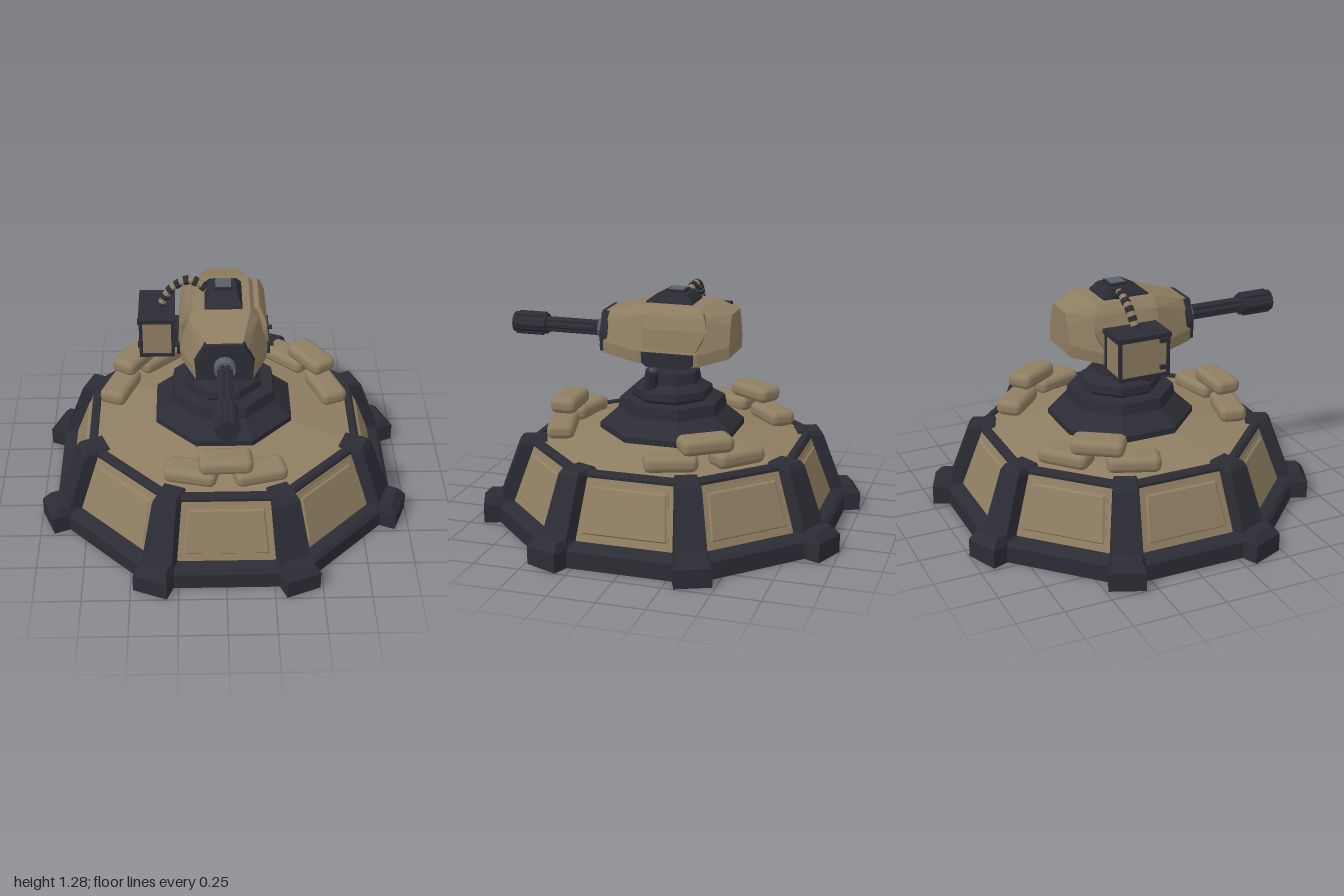
import * as THREE from 'three';
import { ConvexGeometry } from 'three/addons/geometries/ConvexGeometry.js';
import { RoundedBoxGeometry } from 'three/addons/geometries/RoundedBoxGeometry.js';

const tan = new THREE.MeshStandardMaterial({ color: 0x8f7e62 });
tan.name = 'tan armour';
const dark = new THREE.MeshStandardMaterial({ color: 0x2c2c35 });
dark.name = 'dark metal';
const grey = new THREE.MeshStandardMaterial({ color: 0x5a6068 });
grey.name = 'grey steel';

// Faceted normals
function flat(geo) {
  const g = geo.index ? geo.toNonIndexed() : geo;
  g.computeVertexNormals();
  return g;
}

function add(parent, name, geo, mat, x = 0, y = 0, z = 0) {
  const m = new THREE.Mesh(geo, mat);
  m.name = name;
  m.position.set(x, y, z);
  parent.add(m);
  return m;
}

// Eight-sided solid from [apothem, y] pairs, bottom to top
function octagon(profile) {
  const pts = profile.map(([a, y]) => new THREE.Vector2(a / Math.cos(Math.PI / 8), y));
  return flat(new THREE.LatheGeometry(pts, 8, Math.PI / 8));
}

const hull = (pts) => new ConvexGeometry(pts.map((p) => new THREE.Vector3(...p)));

// Solid from level rectangles [y, halfWidth, zMin, zMax]
const stack = (levels) => hull(levels.flatMap(([y, w, z0, z1]) =>
  [[-w, y, z0], [w, y, z0], [w, y, z1], [-w, y, z1]]));

// Cylinder between two points
function rod(parent, name, a, b, r, mat, sides = 8) {
  const from = new THREE.Vector3(...a), to = new THREE.Vector3(...b);
  const dir = to.clone().sub(from);
  const m = add(parent, name, flat(new THREE.CylinderGeometry(r, r, dir.length(), sides)), mat);
  m.position.copy(from).lerp(to, 0.5);
  m.quaternion.setFromUnitVectors(new THREE.Vector3(0, 1, 0), dir.normalize());
  return m;
}

function buildBase(root) {
  const base = new THREE.Group();
  base.name = 'base';
  root.add(base);
  add(base, 'plinth', octagon([[0, 0], [0.915, 0], [0.915, 0.09], [0.895, 0.11], [0.83, 0.12], [0, 0.12]]), dark);
  add(base, 'slopedWall', octagon([[0.84, 0.115], [0.72, 0.44]]), tan);
  add(base, 'topRim', octagon([[0.728, 0.425], [0.728, 0.44], [0.715, 0.455], [0.685, 0.455], [0.68, 0.435]]), dark);
  add(base, 'deck', octagon([[0.69, 0.44], [0.3, 0.51], [0, 0.51]]), tan);

  const foot = stack([[0, 0.095, 0.8, 1.04], [0.1, 0.095, 0.8, 1.04], [0.145, 0.075, 0.8, 1.0]]);
  const pillar = stack([[0.1, 0.085, 0.8, 0.955], [0.435, 0.066, 0.68, 0.83], [0.46, 0.055, 0.69, 0.81]]);
  const wallZ = (y) => 0.84 - (y - 0.115) * 0.12 / 0.325;
  const plate = hull([[0.155, 0.225, 0], [0.39, 0.2, 0], [0.165, 0.215, 0.012], [0.38, 0.19, 0.012]]
    .flatMap(([y, w, d]) => [[-w, y, wallZ(y) + d], [w, y, wallZ(y) + d]]));
  const outline = hull([[0.148, 0.232, -0.005], [0.397, 0.207, -0.005], [0.148, 0.232, 0.003], [0.397, 0.207, 0.003]]
    .flatMap(([y, w, d]) => [[-w, y, wallZ(y) + d], [w, y, wallZ(y) + d]]));
  for (let k = 0; k < 8; k++) {
    const a = k * Math.PI / 4;
    add(base, 'panelBorder', outline, tan).rotation.y = a;
    add(base, 'wallPanel', plate, tan).rotation.y = a;
    add(base, 'cornerFoot', foot, dark).rotation.y = a + Math.PI / 8;
    add(base, 'cornerPillar', pillar, dark).rotation.y = a + Math.PI / 8;
  }
}

function buildSandbags(root) {
  const bag = new RoundedBoxGeometry(0.28, 0.088, 0.15, 2, 0.036);
  for (const mid of [0, 123, -125]) {
    for (const [offset, y, twist] of [[-17, 0.5, 4], [17, 0.5, -3], [0, 0.588, 2]]) {
      const a = THREE.MathUtils.degToRad(mid + offset);
      const m = add(root, 'sandbag', bag, tan, Math.sin(a) * 0.6, y, Math.cos(a) * 0.6);
      m.rotation.y = a + THREE.MathUtils.degToRad(twist);
    }
  }
}

function buildPedestal(root) {
  add(root, 'pedestal', octagon([[0.365, 0.49], [0.365, 0.53], [0.275, 0.61], [0.265, 0.67], [0.21, 0.675], [0, 0.675]]), dark);
  add(root, 'neck', octagon([[0.18, 0.66], [0.205, 0.69], [0.2, 0.73], [0.145, 0.765], [0.135, 0.82], [0, 0.82]]), dark);
  for (const s of [-1, 1]) {
    rod(root, 'strutSleeve', [s * 0.145, 0.73, 0.08], [s * 0.17, 0.85, 0.06], 0.036, dark);
    rod(root, 'strutRod', [s * 0.165, 0.83, 0.065], [s * 0.19, 0.93, 0.035], 0.02, grey);
  }
}

function buildHead(root) {
  const head = new THREE.Group();
  head.name = 'turretHead';
  root.add(head);

  // Armoured shell from cross-sections [z, halfWidth, bottom, top]
  const shell = [[0.345, 0.15, 0.92, 1.14], [0.13, 0.23, 0.9, 1.2], [-0.2, 0.23, 0.9, 1.2], [-0.35, 0.14, 0.935, 1.16]];
  add(head, 'shell', hull(shell.flatMap(([z, w, y0, y1]) => [-1, 1].flatMap((s) => [
    [s * w * 0.97, y0, z], [s * w, y0 + 0.065, z], [s * w * 0.78, y1 - 0.05, z], [s * w * 0.6, y1, z]]))), tan);

  for (const s of [-1, 1]) {
    // Raised cheek armour
    add(head, 'cheekPlate', hull([[0.2, 0.98, 0.1, -0.2], [0.237, 0.98, 0.09, -0.19], [0.225, 1.09, 0.1, -0.25],
      [0.198, 1.16, 0.07, -0.23], [0.185, 1.18, 0.06, -0.22], [0.14, 1.17, 0.06, -0.22]]
      .flatMap(([x, y, z0, z1]) => [[s * x, y, z0], [s * x, y, z1]])), tan);
    // Lower skirt with bolts
    add(head, 'skirt', hull([[0.965, 0.1, -0.18], [0.91, 0.1, -0.18], [0.888, 0.07, -0.14]]
      .flatMap(([y, z0, z1]) => [0.19, 0.245].flatMap((x) => [[s * x, y, z0], [s * x, y, z1]]))), dark);
    for (const z of [0.04, -0.12]) rod(head, 'skirtBolt', [s * 0.24, 0.93, z], [s * 0.265, 0.93, z], 0.012, dark, 6);
  }

  // Gun shield
  const shield = [[0.15, 0.93], [0.155, 1.03], [0.1, 1.14]];
  add(head, 'gunShield', hull(shield.flatMap(([x, y]) => [-1, 1].flatMap((s) =>
    [[s * x, y, 0.32], [s * x * 0.96, y, 0.364]]))), dark);
  for (const [x, y] of [[0.12, 0.955], [0.085, 1.115]])
    for (const s of [-1, 1]) rod(head, 'shieldBolt', [s * x, y, 0.36], [s * x, y, 0.372], 0.011, dark, 6);

  // Barrel cluster and muzzle
  const gy = 1.018;
  rod(head, 'barrelCollar', [0, gy, 0.355], [0, gy, 0.412], 0.055, grey, 12);
  rod(head, 'barrelCore', [0, gy, 0.4], [0, gy, 0.75], 0.032, dark, 12);
  rod(head, 'muzzle', [0, gy, 0.72], [0, gy, 0.91], 0.058, dark, 12);
  for (let k = 0; k < 6; k++) {
    const a = k * Math.PI / 3, c = Math.cos(a), d = Math.sin(a);
    rod(head, 'barrel', [c * 0.028, gy + d * 0.028, 0.4], [c * 0.028, gy + d * 0.028, 0.73], 0.015, dark, 6);
    rod(head, 'muzzleRib', [c * 0.054, gy + d * 0.054, 0.735], [c * 0.054, gy + d * 0.054, 0.895], 0.013, dark, 6);
  }

  // Roof hatch and sight
  add(head, 'roofHatch', stack([[1.19, 0.1, -0.14, 0.125], [1.21, 0.095, -0.135, 0.115], [1.252, 0.07, -0.1, 0.04]]), dark);
  add(head, 'sightFrame', new THREE.BoxGeometry(0.1, 0.02, 0.1), dark, 0, 1.256, -0.03);
  add(head, 'sightGlass', new THREE.BoxGeometry(0.082, 0.008, 0.082), grey, 0, 1.266, -0.03);
}

function buildAmmoBox(root) {
  const ammo = new THREE.Group();
  ammo.name = 'ammoBox';
  ammo.position.set(-0.35, 0, -0.065);
  root.add(ammo);
  add(ammo, 'boxBody', new THREE.BoxGeometry(0.172, 0.21, 0.27), tan, 0, 0.99, 0);
  add(ammo, 'boxLid', new THREE.BoxGeometry(0.192, 0.024, 0.3), dark, 0, 1.1, 0);
  add(ammo, 'boxFloor', new THREE.BoxGeometry(0.186, 0.018, 0.285), dark, 0, 0.888, 0);
  for (const x of [-1, 1]) for (const z of [-1, 1])
    add(ammo, 'cornerPost', new THREE.BoxGeometry(0.018, 0.21, 0.018), dark, x * 0.084, 0.99, z * 0.133);
  for (const y of [0.93, 1.075])
    add(ammo, 'latch', new THREE.BoxGeometry(0.016, 0.022, 0.03), dark, -0.094, y, 0.1);
  add(ammo, 'bracket', new THREE.BoxGeometry(0.1, 0.07, 0.16), dark, 0.12, 0.96, 0);

  // Banded ammunition feed
  const path = new THREE.CatmullRomCurve3([[-0.335, 1.105, -0.065], [-0.275, 1.205, -0.075], [-0.18, 1.258, -0.08],
    [-0.115, 1.238, -0.065], [-0.075, 1.2, -0.055]].map((p) => new THREE.Vector3(...p)));
  const n = 14;
  for (let i = 0; i < n; i++) {
    const a = path.getPointAt(i / n), b = path.getPointAt((i + 1) / n);
    rod(root, 'feedLink', a.toArray(), b.toArray(), i % 2 ? 0.021 : 0.025, i % 2 ? tan : dark, 8);
  }
}

export function createModel() {
  const root = new THREE.Group();
  root.name = 'gunTurret';
  buildBase(root);
  buildSandbags(root);
  buildPedestal(root);
  buildHead(root);
  buildAmmoBox(root);
  return root;
}
